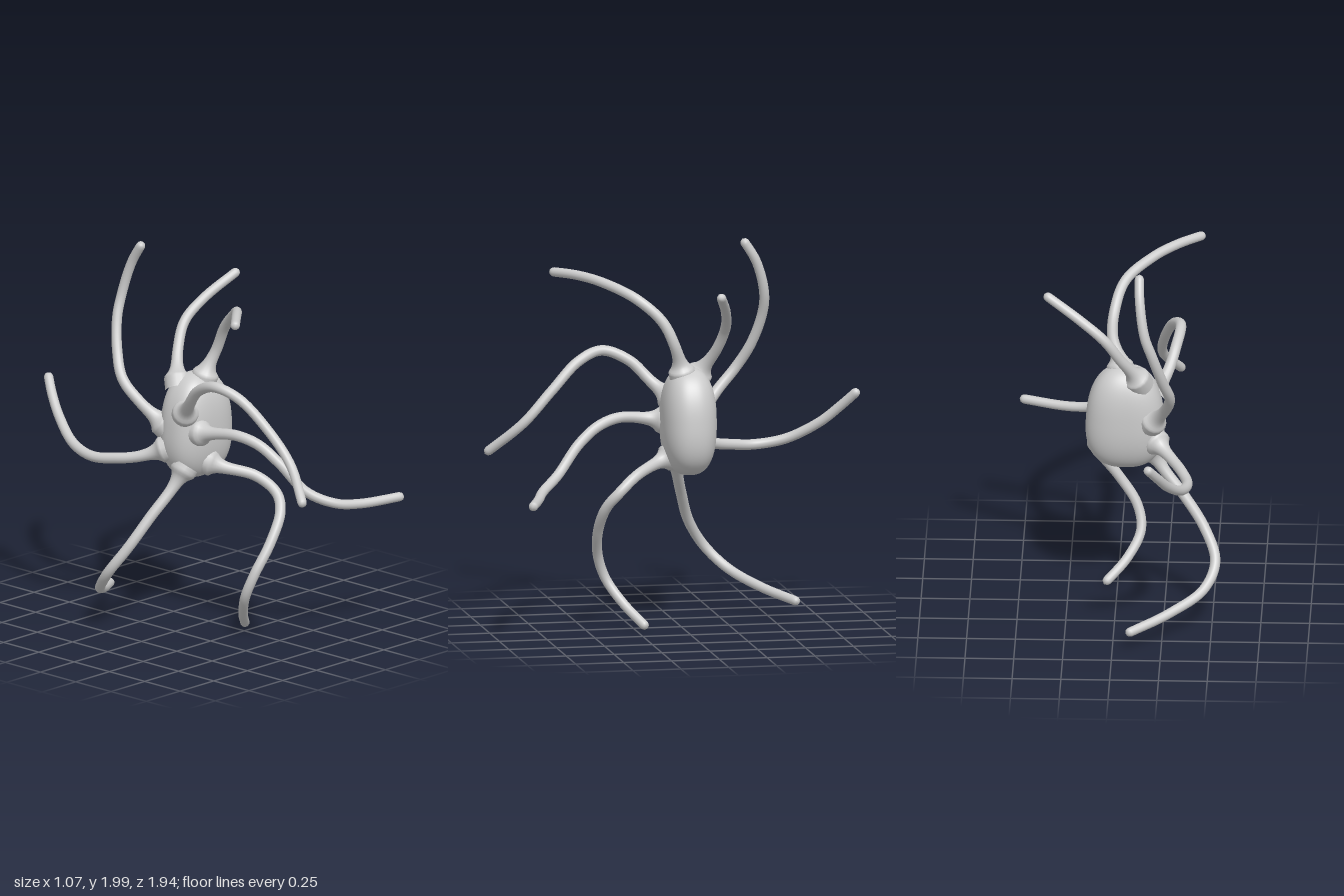
import * as THREE from 'three';
import { mergeVertices } from 'three/addons/utils/BufferGeometryUtils.js';

const material = new THREE.MeshStandardMaterial({ color: 0xcccccc });
const CENTRE = new THREE.Vector3(-0.047, 1.072, -0.045);
const HALF = new THREE.Vector3(0.2, 0.277, 0.14);
const POWER = 2.5;

// Squarish ellipsoid measure: below 1 inside the body, 1 on its surface
function bodyLevel(p) {
  const y = (p.y - CENTRE.y) / HALF.y;
  const x = (p.x - CENTRE.x) / (HALF.x * (1 - 0.1 * y));
  const z = (p.z - CENTRE.z) / HALF.z;
  return (Math.abs(x) ** POWER + Math.abs(y) ** POWER + Math.abs(z) ** POWER) ** (1 / POWER);
}

function smooth(geometry) {
  geometry.deleteAttribute('uv');
  geometry.deleteAttribute('normal');
  const merged = mergeVertices(geometry, 1e-5);
  merged.computeVertexNormals();
  return merged;
}

// Body: sphere pushed out to the squarish, slightly top-narrowed form
function makeBody() {
  const geometry = new THREE.SphereGeometry(1, 64, 48);
  const pos = geometry.attributes.position;
  const p = new THREE.Vector3();
  for (let i = 0; i < pos.count; i++) {
    p.fromBufferAttribute(pos, i);
    const k = (Math.abs(p.x) ** POWER + Math.abs(p.y) ** POWER + Math.abs(p.z) ** POWER) ** (-1 / POWER);
    p.multiplyScalar(k);
    p.x *= 1 - 0.1 * p.y;
    p.multiply(HALF).add(CENTRE);
    pos.setXYZ(i, p.x, p.y, p.z);
  }
  const mesh = new THREE.Mesh(smooth(geometry), material);
  mesh.name = 'body';
  return mesh;
}

// Arm: tube along a curve, flared where it leaves the body, rounded at the tip
function makeArm(name, points) {
  const curve = new THREE.CatmullRomCurve3(points.map((p) => new THREE.Vector3(...p)));
  const segments = 120, sides = 16;
  const length = curve.getLength();
  let exit = 0;
  while (exit < 0.4 && bodyLevel(curve.getPointAt(exit)) < 1) exit += 0.005;

  const geometry = new THREE.TubeGeometry(curve, segments, 1, sides);
  const pos = geometry.attributes.position;
  const p = new THREE.Vector3();
  for (let i = 0; i <= segments; i++) {
    const t = i / segments;
    const centre = curve.getPointAt(t);
    const fromBody = Math.max(0, (t - exit) * length);
    const toTip = (1 - t) * length;
    let radius = 0.029 - 0.005 * t + 0.04 * Math.exp(-fromBody / 0.032);
    if (toTip < 0.03) radius *= Math.sqrt(Math.max(0, 1 - (1 - toTip / 0.03) ** 2));
    for (let j = 0; j <= sides; j++) {
      const k = i * (sides + 1) + j;
      p.fromBufferAttribute(pos, k).sub(centre).multiplyScalar(radius).add(centre);
      pos.setXYZ(k, p.x, p.y, p.z);
    }
  }
  const mesh = new THREE.Mesh(smooth(geometry), material);
  mesh.name = name;
  return mesh;
}

// Centre lines, from root to tip
const ARMS = {
  topFrontArm: [[-0.03, 1.27, -0.02], [-0.015, 1.36, 0.0], [0.02, 1.48, 0.04], [0.01, 1.6, 0.1],
    [-0.04, 1.71, 0.22], [-0.18, 1.78, 0.37], [-0.3, 1.803, 0.48], [-0.435, 1.805, 0.6]],
  topBackArm: [[-0.13, 1.26, -0.09], [-0.1, 1.33, -0.13], [-0.03, 1.44, -0.19], [0.05, 1.56, -0.22],
    [0.17, 1.66, -0.2], [0.365, 1.785, -0.135]],
  upperBackArm: [[-0.18, 1.06, -0.12], [-0.26, 1.19, -0.24], [-0.285, 1.3, -0.34], [-0.25, 1.42, -0.41],
    [-0.2, 1.58, -0.46], [-0.16, 1.7, -0.465], [-0.135, 1.87, -0.42], [-0.13, 1.995, -0.345]],
  lowerBackArm: [[-0.2, 0.96, -0.1], [-0.29, 0.91, -0.22], [-0.345, 0.89, -0.33], [-0.38, 0.88, -0.46],
    [-0.355, 0.91, -0.62], [-0.29, 1.0, -0.78], [-0.24, 1.09, -0.88], [-0.185, 1.18, -0.965]],
  bottomBackArm: [[-0.17, 0.88, 0.0], [-0.25, 0.76, -0.03], [-0.35, 0.64, -0.07], [-0.46, 0.48, -0.13],
    [-0.515, 0.34, -0.22], [-0.46, 0.23, -0.33], [-0.29, 0.155, -0.47], [-0.07, 0.105, -0.63]],
  bottomFrontArm: [[-0.06, 0.89, 0.04], [-0.02, 0.865, 0.12], [0.09, 0.82, 0.25], [0.135, 0.74, 0.35],
    [0.1, 0.66, 0.41], [0.0, 0.52, 0.435], [-0.095, 0.37, 0.415], [-0.115, 0.25, 0.37],
    [-0.05, 0.13, 0.29], [0.07, 0.02, 0.19]],
  middleFrontArm: [[-0.14, 1.06, 0.04], [-0.14, 1.075, 0.14], [-0.11, 1.09, 0.3], [-0.07, 1.055, 0.42],
    [-0.03, 0.97, 0.53], [0.04, 0.83, 0.65], [0.15, 0.765, 0.75], [0.28, 0.745, 0.8], [0.525, 0.75, 0.88]],
  upperFrontArm: [[-0.19, 1.16, 0.01], [-0.26, 1.25, 0.11], [-0.3, 1.35, 0.21], [-0.32, 1.405, 0.35],
    [-0.28, 1.36, 0.48], [-0.23, 1.22, 0.63], [-0.215, 1.06, 0.78], [-0.31, 0.89, 0.965]],
};

export function createModel() {
  const group = new THREE.Group();
  group.name = 'eightArmedCreature';
  group.add(makeBody());
  for (const [name, points] of Object.entries(ARMS)) group.add(makeArm(name, points));
  return group;
}
